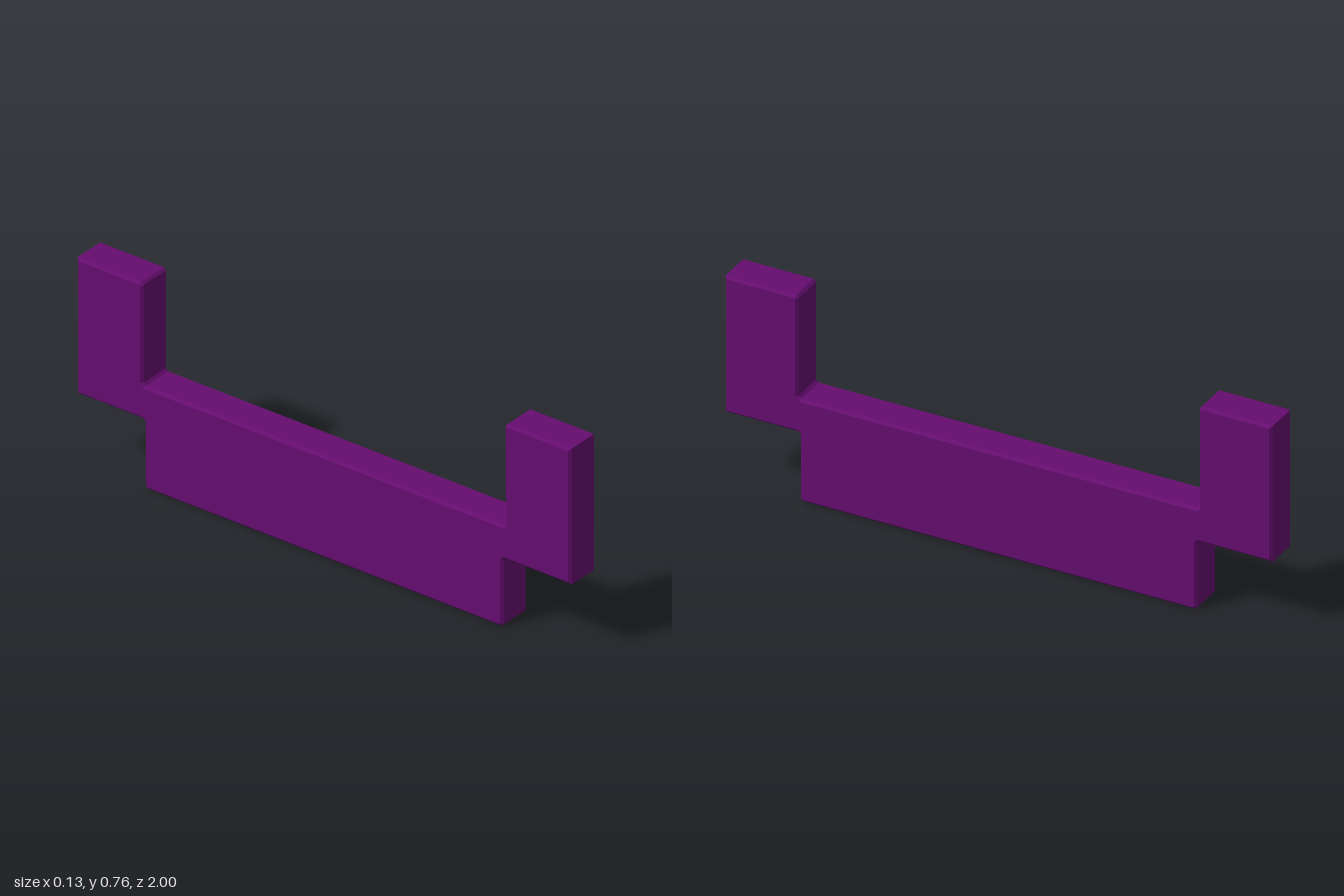
import * as THREE from 'three';

export function createModel() {
  const group = new THREE.Group();
  const c = 0.009; // chamfer size

  // Right half of the side outline (z, y), from bottom to top
  const half = [
    [0.725 - c, 0], [0.725, c],                 // foot of the beam
    [0.725, 0.255 - c], [0.725 + c, 0.255],     // step under the arm
    [1, 0.255], [1, 0.76],                      // outer arm face
    [0.733 + c, 0.76], [0.733, 0.76 - c],       // inner top edge
    [0.733, 0.379 + c], [0.733 - c, 0.379],     // inner corner on the beam
  ];
  const mirrored = half.map(([z, y]) => [-z, y]).reverse();
  const shape = new THREE.Shape([...half, ...mirrored].map(([z, y]) => new THREE.Vector2(z, y)));

  // Chamfered plate, extruded across the thickness
  const halfWidth = 0.067;
  const depth = 2 * (halfWidth - c);
  const geometry = new THREE.ExtrudeGeometry(shape, {
    depth, bevelEnabled: true, bevelSegments: 1,
    bevelThickness: c, bevelSize: c, bevelOffset: -c,
  });
  geometry.translate(0, 0, -depth / 2);
  geometry.rotateY(-Math.PI / 2);

  const bracket = new THREE.Mesh(geometry, new THREE.MeshStandardMaterial({ color: 0x660d70 }));
  bracket.name = 'cradleBracket';
  group.add(bracket);
  return group;
}
